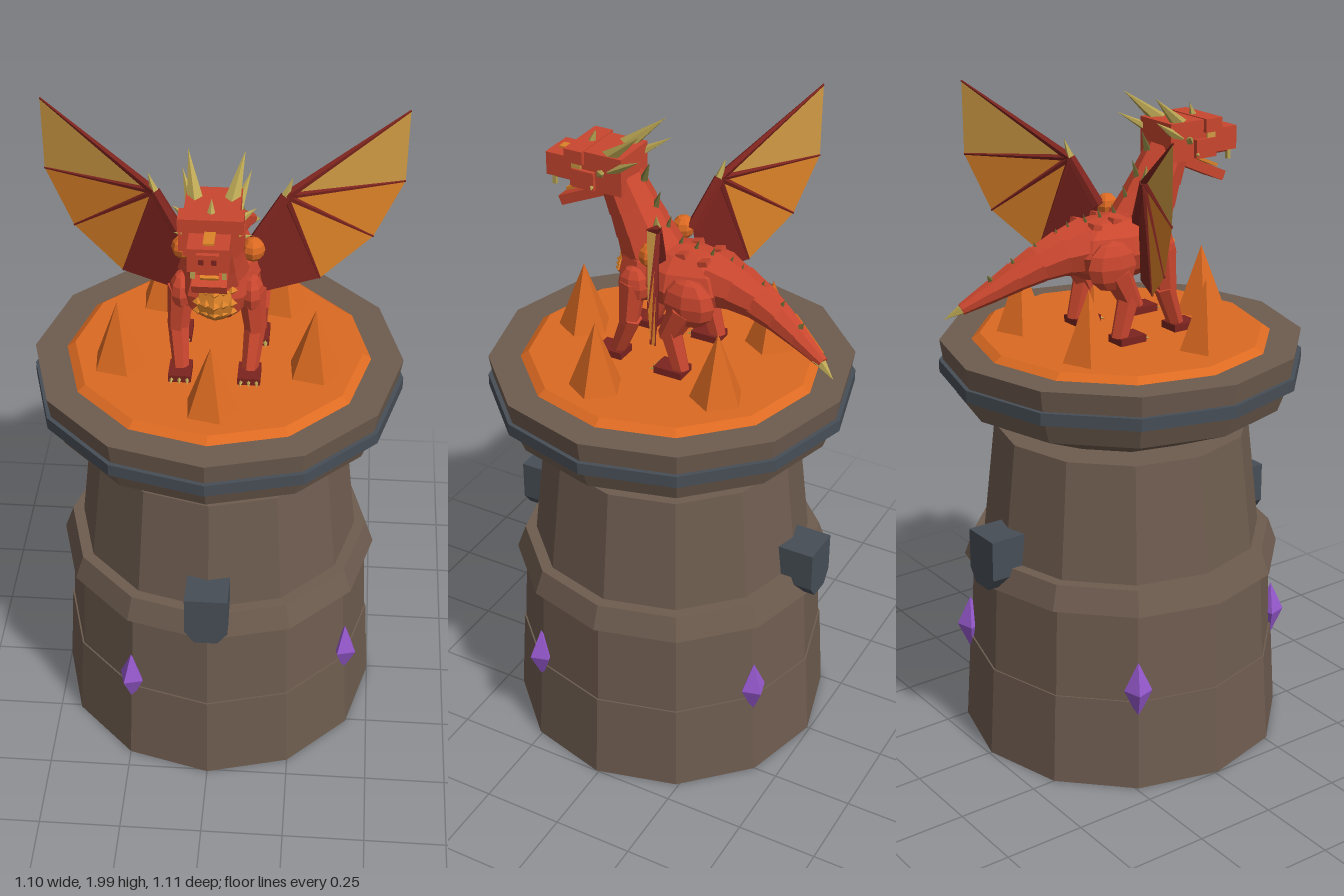
import * as THREE from 'three';

const make = (name, color, side = THREE.FrontSide) => {
  const m = new THREE.MeshStandardMaterial({ color, flatShading: true, side });
  m.name = name;
  return m;
};
const V = (x, y, z) => new THREE.Vector3(x, y, z);

export function createModel() {
  const stone = make('stone', 0x6e5c4f), slate = make('slate', 0x474e56);
  const purple = make('crystal purple', 0x9558cc), lava = make('lava orange', 0xdc6a22);
  const red = make('scale red', 0xc8462e), dark = make('dark red', 0x7c241e, THREE.DoubleSide);
  const amber = make('membrane amber', 0xd09a44, THREE.DoubleSide);
  const orange = make('membrane orange', 0xdc8228, THREE.DoubleSide);
  const horn = make('horn gold', 0xb8a452), spineMat = make('spine olive', 0x6d6a35);

  const model = new THREE.Group();
  model.name = 'dragonTower';
  const tower = new THREE.Group(), dragon = new THREE.Group();
  tower.name = 'tower';
  dragon.name = 'dragon';
  tower.position.z = 0.008;
  model.add(tower, dragon);

  const add = (parent, name, geo, mat, x = 0, y = 0, z = 0) => {
    const mesh = new THREE.Mesh(geo, mat);
    mesh.name = name;
    mesh.position.set(x, y, z);
    parent.add(mesh);
    return mesh;
  };
  const box = (name, w, h, d, mat, x, y, z, rx = 0) => {
    const m = add(dragon, name, new THREE.BoxGeometry(w, h, d), mat, x, y, z);
    m.rotation.x = rx;
    return m;
  };
  // Tapered segment from a to b
  const seg = (name, a, b, r0, r1, mat, sides = 8) => {
    const dir = b.clone().sub(a);
    const m = add(dragon, name, new THREE.CylinderGeometry(r1, r0, dir.length(), sides), mat);
    m.position.copy(a).add(b).multiplyScalar(0.5);
    m.quaternion.setFromUnitVectors(V(0, 1, 0), dir.normalize());
    return m;
  };
  const ball = (name, p, s, mat) =>
    add(dragon, name, new THREE.SphereGeometry(1, 8, 6), mat, ...p).scale.set(...s);
  // Twelve-sided turned part
  const turned = (name, pts, mat) => add(tower, name,
    new THREE.LatheGeometry(pts.map(p => new THREE.Vector2(...p)), 12), mat);

  // Tower
  turned('towerBase', [[0, 0], [0.5, 0], [0.483, 0.285], [0.478, 0.285], [0.464, 0.575], [0, 0.575]], stone);
  turned('ledge', [[0.44, 0.57], [0.492, 0.57], [0.465, 0.645], [0.42, 0.645]], stone);
  turned('towerShaft', [[0.435, 0.6], [0.39, 1.005], [0, 1.005]], stone);
  turned('collar', [[0.27, 1.0], [0.5, 1.105], [0.528, 1.18], [0.535, 1.2], [0.547, 1.275], [0, 1.275]], stone);
  turned('collarBand', [[0.5, 1.175], [0.55, 1.175], [0.55, 1.212], [0.5, 1.212]], slate);
  turned('lavaBed', [[0.453, 1.274], [0.427, 1.293], [0, 1.293]], lava);

  // Brackets on front and back
  const shield = new THREE.Shape([[-0.064, 0.745], [-0.064, 0.62], [-0.034, 0.58], [0.034, 0.58],
    [0.064, 0.62], [0.064, 0.745]].map(p => new THREE.Vector2(...p)));
  for (const a of [0, Math.PI]) {
    const g = new THREE.ExtrudeGeometry(shield, { depth: 0.12, bevelEnabled: false });
    add(tower, 'bracket', g.translate(0, 0, 0.395), slate).rotation.y = a;
  }
  // Crystals around the base
  for (let i = 0; i < 4; i++) {
    const a = Math.PI / 3 + i * Math.PI / 2;
    const c = add(tower, 'crystal', new THREE.OctahedronGeometry(1), purple,
      0.48 * Math.sin(a), 0.325, 0.48 * Math.cos(a));
    c.scale.set(0.042, 0.093, 0.042);
    c.rotation.y = a;
  }
  // Flame spikes
  for (let i = 0; i < 5; i++) {
    const a = i * Math.PI * 0.4;
    add(tower, 'flameSpike', new THREE.ConeGeometry(0.082, 0.212, 5), lava,
      0.3 * Math.sin(a), 1.396, 0.3 * Math.cos(a)).rotation.y = a + 0.4;
  }

  // Torso
  ball('torso', [0, 1.555, -0.03], [0.125, 0.1, 0.19], red);
  ball('chest', [0, 1.56, 0.07], [0.11, 0.105, 0.1], red);
  ball('chestPlate', [0, 1.545, 0.105], [0.07, 0.075, 0.075], orange);
  for (let r = 0; r < 3; r++) for (let i = -2; i <= 2; i++)
    add(dragon, 'chestScale', new THREE.OctahedronGeometry(0.016), orange,
      i * 0.024, 1.585 - r * 0.035, 0.178 - Math.abs(i) * 0.012 - Math.abs(r - 1) * 0.012);

  // Neck and tail as overlapping flared segments
  const chain = (name, pts, radii) => {
    for (let i = 0; i < pts.length - 1; i++)
      seg(name, pts[i], pts[i + 1].clone().lerp(pts[i], -0.1), radii[i], radii[i + 1] * 0.95, red);
  };
  chain('neck', [V(0, 1.55, 0.03), V(0, 1.62, 0.075), V(0, 1.68, 0.105), V(0, 1.74, 0.135),
    V(0, 1.81, 0.17)], [0.105, 0.094, 0.083, 0.075, 0.068]);
  const tail = [V(0, 1.57, -0.13), V(0.005, 1.56, -0.21), V(0.012, 1.54, -0.28), V(0.025, 1.51, -0.35),
    V(0.042, 1.475, -0.42), V(0.065, 1.435, -0.5)];
  chain('tail', tail, [0.088, 0.07, 0.057, 0.045, 0.033, 0.018]);
  seg('tailTip', V(0.063, 1.438, -0.49), V(0.092, 1.402, -0.553), 0.02, 0, horn, 5);

  // Head
  box('skull', 0.15, 0.115, 0.17, red, 0, 1.85, 0.215);
  box('brow', 0.176, 0.04, 0.06, red, 0, 1.89, 0.28);
  box('snout', 0.112, 0.07, 0.1, red, 0, 1.835, 0.34);
  box('nose', 0.06, 0.06, 0.03, red, 0, 1.83, 0.388);
  box('snoutStripe', 0.03, 0.012, 0.09, orange, 0, 1.87, 0.325);
  box('palate', 0.09, 0.008, 0.12, dark, 0, 1.797, 0.31);
  box('lowerJaw', 0.095, 0.03, 0.17, red, 0, 1.755, 0.275, 0.42);
  box('tongue', 0.05, 0.009, 0.13, orange, 0, 1.776, 0.285, 0.42);
  seg('noseHorn', V(0, 1.9, 0.27), V(0, 1.945, 0.255), 0.014, 0, horn, 5);

  // Spines down the back
  for (const [y, z] of [[1.86, 0.1], [1.78, 0.065], [1.71, 0.03], [1.66, -0.01], [1.655, -0.06],
    [1.645, -0.11], [1.635, -0.17]])
    seg('backSpine', V(0, y - 0.035, z), V(0, y + 0.022, z - 0.02), 0.013, 0, spineMat, 4);
  for (let i = 1; i < 5; i++) {
    const p = tail[i];
    seg('tailSpine', p.clone().add(V(0, 0.03, 0)), p.clone().add(V(0, 0.09 - i * 0.01, -0.015)), 0.012, 0, spineMat, 4);
  }

  for (const s of [1, -1]) {
    const P = (x, y, z) => V(s * x, y, z);
    // Face details and horns
    box('cheek', 0.02, 0.055, 0.07, red, s * 0.078, 1.825, 0.25);
    box('eye', 0.008, 0.02, 0.03, amber, s * 0.077, 1.862, 0.275);
    box('nostril', 0.014, 0.014, 0.006, dark, s * 0.017, 1.84, 0.404);
    box('fang', 0.012, 0.03, 0.012, horn, s * 0.042, 1.785, 0.37);
    seg('mainHorn', P(0.045, 1.88, 0.2), P(0.078, 1.99, 0.07), 0.027, 0, horn, 5);
    seg('lowerHorn', P(0.06, 1.86, 0.17), P(0.095, 1.925, 0.06), 0.018, 0, horn, 5);
    seg('cheekSpike', P(0.07, 1.85, 0.2), P(0.115, 1.87, 0.17), 0.014, 0, horn, 5);
    seg('jawSpike', P(0.065, 1.81, 0.23), P(0.108, 1.81, 0.21), 0.012, 0, horn, 5);
    for (const z of [0.02, -0.05, -0.12])
      box('backScale', 0.03, 0.016, 0.03, red, s * 0.045, 1.645 - Math.abs(z + 0.03) * 0.1, z, 0.25);

    // Front leg
    ball('shoulder', [s * 0.1, 1.54, 0.08], [0.036, 0.06, 0.05], red);
    seg('frontUpperLeg', P(0.1, 1.55, 0.08), P(0.112, 1.42, 0.09), 0.042, 0.03, red, 6);
    seg('frontLowerLeg', P(0.112, 1.44, 0.08), P(0.1, 1.31, 0.135), 0.032, 0.024, red, 6);
    box('frontFoot', 0.066, 0.022, 0.085, dark, s * 0.1, 1.306, 0.15);
    // Hind leg
    ball('haunch', [s * 0.105, 1.53, -0.1], [0.045, 0.075, 0.085], red);
    seg('hindUpperLeg', P(0.11, 1.51, -0.09), P(0.115, 1.41, -0.04), 0.045, 0.032, red, 6);
    seg('hindLowerLeg', P(0.115, 1.435, -0.05), P(0.115, 1.31, -0.085), 0.034, 0.026, red, 6);
    box('hindFoot', 0.066, 0.022, 0.09, dark, s * 0.115, 1.306, -0.055);
    for (const [x, z] of [[0.1, 0.19], [0.115, -0.01]]) for (const k of [-1, 0, 1])
      seg('claw', P(x + k * 0.022, 1.307, z - 0.005), P(x + k * 0.024, 1.299, z + 0.02), 0.008, 0, horn, 4);

    // Wing lies in an upright plane swept backward
    ball('wingJoint', [s * 0.1, 1.65, 0.025], [0.034, 0.036, 0.034], lava);
    const W = (u, y) => P(u, y, 0.01 - 0.48 * (u - 0.07));
    const root = W(0.1, 1.65), wrist = W(0.185, 1.785), base = W(0.13, 1.48);
    const tips = [W(0.527, 1.98), W(0.525, 1.755), W(0.44, 1.59), W(0.29, 1.485)];
    const panel = (name, pts, mat) => {
      const g = new THREE.BufferGeometry().setFromPoints(pts);
      g.setIndex(pts.length === 3 ? [0, 1, 2] : [0, 1, 2, 0, 2, 3]);
      g.computeVertexNormals();
      add(dragon, name, g, mat);
    };
    panel('upperMembrane', [wrist, tips[0], tips[1]], amber);
    panel('middleMembrane', [wrist, tips[1], tips[2]], orange);
    panel('lowerMembrane', [wrist, tips[2], tips[3]], orange);
    panel('innerMembrane', [wrist, tips[3], base, root], dark);
    seg('wingArm', root, wrist, 0.022, 0.016, dark, 6);
    tips.forEach((t, i) => seg('wingFinger', wrist, t, i ? 0.01 : 0.014, 0.003, dark, 5));
    seg('wingClaw', wrist, W(0.205, 1.84), 0.014, 0, horn, 5);
  }
  return model;
}
